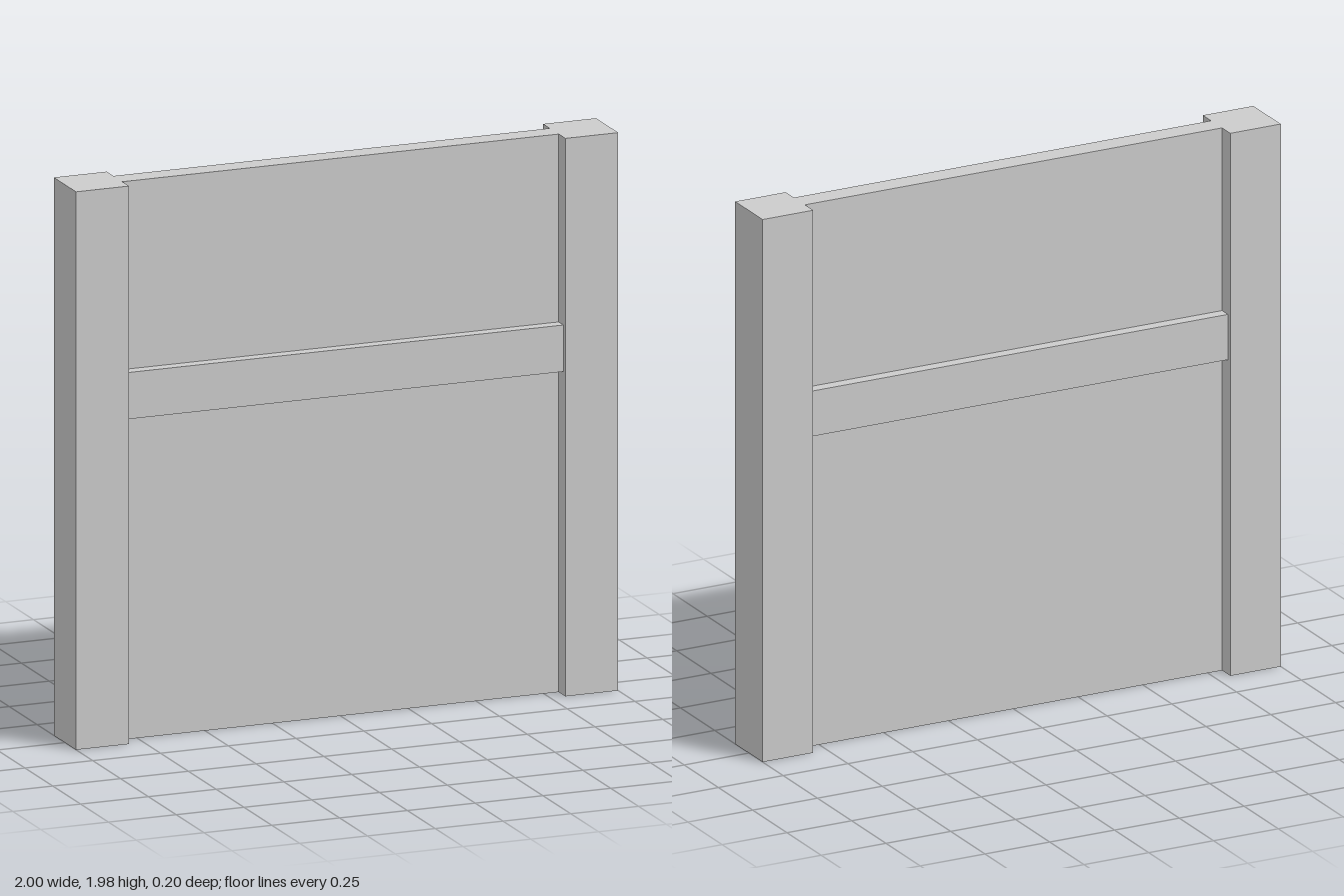
import * as THREE from 'three';

const HEIGHT = 1.975;
const POST_WIDTH = 0.195;
const POST_DEPTH = 0.2;
const SPAN = 2 - 2 * POST_WIDTH; // clear width between the posts

export function createModel() {
  const group = new THREE.Group();
  group.name = 'wallPanel';
  const material = new THREE.MeshStandardMaterial({ color: 0xcccccc, flatShading: true });

  // Box resting with its underside at height y
  const addBox = (name, width, height, depth, x, y) => {
    const mesh = new THREE.Mesh(new THREE.BoxGeometry(width, height, depth), material);
    mesh.name = name;
    mesh.position.set(x, y + height / 2, 0);
    group.add(mesh);
  };

  // Square posts at both ends
  for (const [name, side] of [['leftPost', 1], ['rightPost', -1]]) {
    addBox(name, POST_WIDTH, HEIGHT, POST_DEPTH, side * (1 - POST_WIDTH / 2), 0);
  }

  // Thin infill panel between the posts
  addBox('panel', SPAN, HEIGHT, 0.08, 0, 0);

  // Horizontal rail standing out on both faces of the panel
  addBox('rail', SPAN, 0.165, 0.165, 0, 1.145);

  return group;
}
